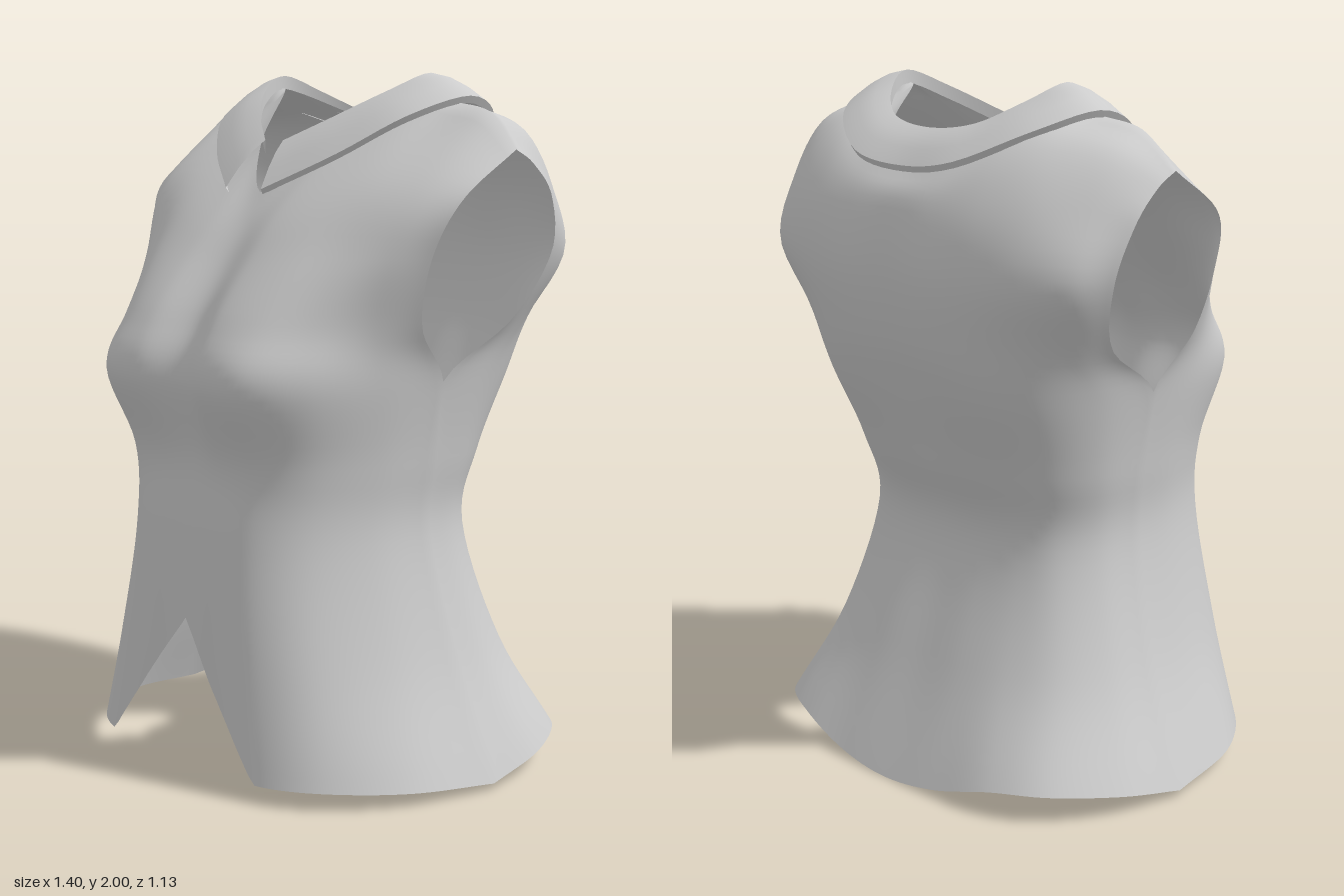
import * as THREE from 'three';
import { mergeVertices, mergeGeometries, toCreasedNormals } from 'three/addons/utils/BufferGeometryUtils.js';

const material = new THREE.MeshStandardMaterial({ color: 0xcccccc, side: THREE.DoubleSide });

// Cross-sections of half a panel, from the centre line to the side: heights, x, z
const section = (y, x, z) => x.map((v, i) => new THREE.Vector3(v, Array.isArray(y) ? y[i] : y, z[i]));

const frontRows = [
  section([.05, .05, .05, .05, .04, .02], [0, .18, .36, .52, .65, .70], [.52, .53, .52, .42, .22, -.05]), // hem
  section(.35, [0, .16, .31, .44, .53, .56], [.51, .52, .50, .40, .20, -.03]),
  section(.70, [0, .14, .27, .38, .455, .475], [.49, .505, .475, .37, .19, 0]), // waist
  section(.92, [0, .14, .28, .39, .465, .49], [.47, .49, .47, .37, .18, 0]),
  section(1.15, [0, .15, .31, .43, .50, .53], [.515, .565, .55, .42, .20, 0]), // bust, underarm
  section(1.31, [0, .15, .30, .42, .51, .57], [.45, .505, .48, .38, .24, .12]),
  section([1.48, 1.49, 1.5, 1.5, 1.5, 1.5], [0, .15, .30, .44, .55, .625], [.34, .37, .35, .29, .22, .14]),
  section([1.58, 1.62, 1.68, 1.7, 1.68, 1.66], [0, .14, .28, .43, .57, .68], [.27, .26, .20, .16, .13, .08]),
  section([1.66, 1.80, 1.96, 1.92, 1.89, 1.79], [0, .17, .31, .43, .58, .69], [.21, .08, -.13, -.13, -.12, -.11]), // neck, shoulder
];

const backRows = [
  section([0, .02, .07, .08, .06, .02], [0, .20, .40, .56, .67, .70], [-.56, -.55, -.52, -.44, -.26, -.05]),
  section(.35, [0, .17, .33, .46, .54, .56], [-.41, -.41, -.38, -.31, -.18, -.03]),
  section(.70, [0, .15, .28, .38, .45, .475], [-.30, -.30, -.28, -.23, -.13, 0]),
  section(.92, [0, .15, .29, .40, .47, .49], [-.37, -.37, -.34, -.27, -.15, 0]),
  section(1.15, [0, .16, .32, .44, .51, .53], [-.46, -.47, -.44, -.35, -.20, 0]),
  section(1.31, [0, .16, .32, .45, .53, .575], [-.51, -.52, -.49, -.42, -.33, -.22]),
  section(1.50, [0, .16, .33, .48, .60, .65], [-.53, -.54, -.52, -.48, -.41, -.30]),
  section([1.68, 1.68, 1.69, 1.7, 1.69, 1.66], [0, .16, .33, .48, .60, .685], [-.50, -.50, -.48, -.43, -.35, -.26]),
  section([1.76, 1.78, 1.85, 1.86, 1.83, 1.75], [0, .17, .33, .46, .60, .69], [-.44, -.43, -.36, -.31, -.25, -.18]),
  section([1.84, 1.87, 1.96, 1.92, 1.89, 1.79], [0, .17, .31, .43, .58, .69], [-.36, -.33, -.13, -.13, -.12, -.11]),
];

// Smooth curve value through a list of points, extended past both ends
function spline(points, t, mirrored) {
  const n = points.length - 1;
  const at = (i) => {
    if (i < 0) return mirrored ? points[-i].clone().multiply(new THREE.Vector3(-1, 1, 1))
      : points[0].clone().multiplyScalar(2).sub(points[1]);
    return i > n ? points[n].clone().multiplyScalar(2).sub(points[n - 1]) : points[i];
  };
  const i = Math.min(Math.floor(t), n - 1), f = t - i;
  const p = [at(i - 1), at(i), at(i + 1), at(i + 2)];
  const w = [
    (-f + 2 * f * f - f ** 3) / 2, (2 - 5 * f * f + 3 * f ** 3) / 2,
    (f + 4 * f * f - 3 * f ** 3) / 2, (f ** 3 - f * f) / 2,
  ];
  return p.reduce((sum, q, k) => sum.addScaledVector(q, w[k]), new THREE.Vector3());
}

const surface = (rows, u, level) => spline(rows.map((r) => spline(r, u, true)), level, false);

// Grid of points to an indexed surface
function gridGeometry(grid, flip) {
  const cols = grid[0].length, index = [];
  for (let j = 0; j < grid.length - 1; j++) for (let i = 0; i < cols - 1; i++) {
    const a = j * cols + i, b = a + 1, c = b + cols, d = a + cols;
    index.push(...(flip ? [a, c, b, a, d, c] : [a, b, c, a, c, d]));
  }
  const g = new THREE.BufferGeometry();
  g.setAttribute('position', new THREE.Float32BufferAttribute(grid.flat().flatMap((p) => p.toArray()), 3));
  g.setIndex(index);
  return g;
}

const SIDE = 5, UNDERARM = 4, COLS = 40, LOW = 28, HIGH = 26;

function panel(rows, other, isFront) {
  const top = rows.length - 1, grid = [];
  for (let j = 0; j <= LOW + HIGH; j++) grid.push([]);
  for (let i = -COLS; i <= COLS; i++) {
    const u = (Math.abs(i) / COLS) * SIDE;
    // Front hem opens in an upside-down V
    let start = 0;
    if (isFront) {
      for (; start < 2; start += 0.005) {
        const p = surface(rows, u, start);
        if (p.y >= 0.455 - 1.22 * p.x) break;
      }
    }
    for (let j = 0; j <= LOW + HIGH; j++) {
      const level = j <= LOW ? THREE.MathUtils.lerp(start, UNDERARM, j / LOW)
        : THREE.MathUtils.lerp(UNDERARM, top, (j - LOW) / HIGH);
      const p = surface(rows, u, level);
      // Side and shoulder seams are shared with the other panel
      if (u === SIDE && j <= LOW) p.lerp(surface(other, u, level), 0.5);
      if (j === LOW + HIGH && u >= 2) p.lerp(surface(other, u, other.length - 1), 0.5);
      if (i < 0) p.x *= -1;
      grid[j].push(p);
    }
  }
  return gridGeometry(grid, !isFront);
}

// Collar edges, from the back centre to the front tip
const vec = (a) => new THREE.Vector3(...a);
const collarInner = [[0, 1.87, -.35], [.16, 1.89, -.33], [.27, 1.95, -.25], [.325, 2, -.14],
  [.275, 1.95, -.02], [.16, 1.875, .09], [.04, 1.81, .17]].map(vec);
const collarOuter = [[0, 1.775, -.46], [.20, 1.8, -.45], [.385, 1.885, -.335], [.465, 1.935, -.16],
  [.41, 1.88, .03], [.27, 1.775, .17], [.08, 1.675, .285]].map(vec);

function collar() {
  const steps = 30, grid = [[], [], [], [], [], []];
  for (let i = -steps; i <= steps; i++) {
    const t = (Math.abs(i) / steps) * 6;
    const inner = spline(collarInner, t, true), outer = spline(collarOuter, t, true);
    const mid = (f) => inner.clone().lerp(outer, f).add(new THREE.Vector3(0, 0.012, 0));
    const hem = outer.clone().lerp(inner, 0.08).add(new THREE.Vector3(0, -0.025, 0));
    const stand = inner.clone().add(new THREE.Vector3(0, -0.04, 0));
    [hem, outer, mid(0.66), mid(0.33), inner, stand].forEach((p, k) => {
      if (i < 0) p.x *= -1;
      grid[k].push(p);
    });
  }
  return toCreasedNormals(gridGeometry(grid, true), 0.7);
}

export function createModel() {
  const group = new THREE.Group();
  group.name = 'sleevelessBlouse';

  const bodyGeometry = mergeVertices(mergeGeometries([
    panel(frontRows, backRows, true), panel(backRows, frontRows, false)]), 1e-4);
  bodyGeometry.computeVertexNormals();
  const body = new THREE.Mesh(bodyGeometry, material);
  body.name = 'body';

  const collarMesh = new THREE.Mesh(collar(), material);
  collarMesh.name = 'collar';

  group.add(body, collarMesh);
  return group;
}
